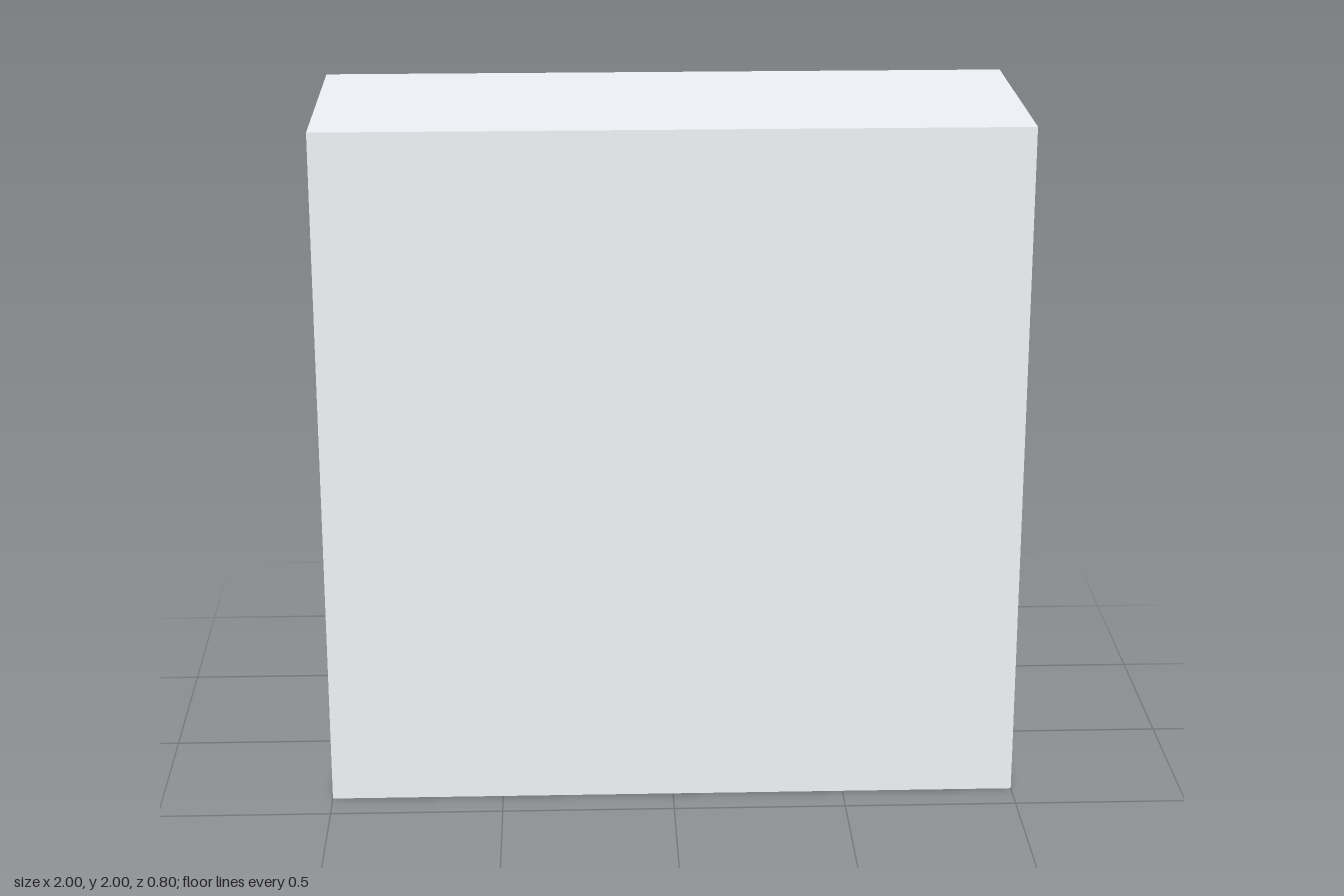
import * as THREE from 'three';

const BACK = -0.35; // plane of the shelf openings
const mat = (color, side = THREE.FrontSide) =>
  new THREE.MeshStandardMaterial({ color, flatShading: true, side });
const WHITE = mat(0xf3f4f9), BLUE = mat(0x0680f0), RED = mat(0xf5082e), YELLOW = mat(0xeec20a),
  BROWN = mat(0xcc8a70), DARK = mat(0x6a4428), PURPLE = mat(0xee08f6),
  BAG_WHITE = mat(0xf3f4f9, THREE.DoubleSide), GREEN = mat(0x08b01e, THREE.DoubleSide);

function add(parent, name, geo, material, x = 0, y = 0, z = 0) {
  const m = new THREE.Mesh(geo, material);
  m.name = name;
  m.position.set(x, y, z);
  parent.add(m);
  return m;
}
function place(parent, name, x, y, z, turn = 0) {
  const g = new THREE.Group();
  g.name = name;
  g.position.set(x, y, z);
  g.rotation.y = turn;
  parent.add(g);
  return g;
}
const points = pts => pts.map(p => new THREE.Vector2(...p));
// box standing on y
const block = (p, name, w, h, d, m, y) => add(p, name, new THREE.BoxGeometry(w, h, d), m, 0, y + h / 2, 0);

// gable-topped drink carton
function carton(parent, color, x, y, z, turn) {
  const g = place(parent, 'carton', x, y, z, turn), w = 0.13;
  block(g, 'cartonBody', w, 0.18, w, color, 0);
  const roof = new THREE.Shape(points([[-w / 2, 0.18], [w / 2, 0.18], [w / 2, 0.24], [0.015, 0.295], [-0.015, 0.295], [-w / 2, 0.24]]));
  const geo = new THREE.ExtrudeGeometry(roof, { depth: w, bevelEnabled: false });
  geo.translate(0, 0, -w / 2).rotateY(Math.PI / 2);
  add(g, 'cartonTop', geo, WHITE);
}

// wide box made of stacked colour bands: [height, material]
function bandedBox(parent, x, y, z, w, bands) {
  const g = place(parent, 'cerealBox', x, y, z);
  let h0 = 0;
  for (const [h, m] of bands) {
    block(g, 'boxBand', w, h, 0.13, m, h0);
    h0 += h;
  }
}

// tapered tub with a lid
function tub(parent, x, y, z) {
  const g = place(parent, 'tub', x, y, z);
  add(g, 'tubCup', new THREE.CylinderGeometry(0.062, 0.044, 0.088, 10), WHITE, 0, 0.044, 0);
  add(g, 'tubLid', new THREE.CylinderGeometry(0.071, 0.071, 0.013, 10), PURPLE, 0, 0.0935, 0);
}

function bottle(parent, x, y, z) {
  const g = place(parent, 'bottle', x, y, z);
  add(g, 'bottleBody', new THREE.CylinderGeometry(0.054, 0.054, 0.16, 8), BROWN, 0, 0.08, 0);
  add(g, 'bottleShoulder', new THREE.CylinderGeometry(0.024, 0.054, 0.03, 8), WHITE, 0, 0.175, 0);
  add(g, 'bottleNeck', new THREE.CylinderGeometry(0.022, 0.024, 0.03, 8), WHITE, 0, 0.205, 0);
  add(g, 'bottleCap', new THREE.CylinderGeometry(0.024, 0.024, 0.02, 8), RED, 0, 0.23, 0);
}

// eight-sided lathe squared off towards a box in plan
function squaredLathe(profile, segments, start, sweep) {
  const geo = new THREE.LatheGeometry(points(profile), segments, start, sweep);
  const p = geo.attributes.position;
  const square = v => Math.sign(v) * Math.sqrt(Math.abs(v));
  for (let i = 0; i < p.count; i++) p.setXYZ(i, square(p.getX(i)), p.getY(i), square(p.getZ(i)));
  return geo;
}

// faceted pillow bag with a coloured front panel
function bag(parent, x, z, turn, rx, rz, h) {
  const g = place(parent, 'bag', x, 0.16, z, turn);
  const side = [[0.65, 0], [1, 0.22], [0.8, 0.78]];
  const body = squaredLathe([[0, 0], ...side, [0.3, 1], [0, 0.95]], 8, 0, Math.PI * 2);
  add(g, 'bagBody', body, BAG_WHITE).scale.set(rx, h, rz);
  const panel = squaredLathe(side, 2, Math.PI * 0.75, Math.PI / 2);
  add(g, 'bagPanel', panel, GREEN).scale.set(rx, h, rz * 1.02);
}

export function createModel() {
  const root = new THREE.Group();
  root.name = 'displayCabinet';

  // cabinet: solid block with a two-bay frame
  const bays = [[0.11, 0.88], [-0.83, -0.11]];
  const face = new THREE.Shape(points([[-1, 0], [1, 0], [1, 2], [-1, 2]]));
  for (const [a, b] of bays) face.holes.push(new THREE.Path(points([[a, 0.16], [a, 1.65], [b, 1.65], [b, 0.16]])));
  const depth = 0.3;
  add(root, 'cabinetFrame', new THREE.ExtrudeGeometry(face, { depth, bevelEnabled: false }), WHITE, 0, 0, BACK);
  add(root, 'cabinetBlock', new THREE.BoxGeometry(2, 2, 0.45), WHITE, 0, 1, 0.175);

  // shelves
  const tops = [1.25, 0.865, 0.48];
  for (const [a, b] of bays) {
    for (const t of tops) {
      add(root, 'shelf', new THREE.BoxGeometry(b - a, 0.09, depth - 0.06), WHITE, (a + b) / 2, t - 0.045, BACK + 0.06 + (depth - 0.06) / 2);
    }
  }

  // header panels, almost flush
  for (const [x, w] of [[0.49, 0.66], [-0.472, 0.625]]) {
    add(root, 'headerPanel', new THREE.BoxGeometry(w, 0.245, 0.004), BLUE, x, 1.824, BACK + 0.001);
  }

  // top shelves: cartons
  const [y1, y2, y3] = tops;
  for (const [x, z, turn] of [[0.77, -0.18, 0], [0.62, -0.185, 0.05], [0.425, -0.18, -0.3], [0.24, -0.185, 0]]) {
    carton(root, BLUE, x, y1, z, turn);
  }
  for (const [x, z, turn] of [[-0.19, -0.17, 0], [-0.335, -0.22, 0.12], [-0.475, -0.125, 0], [-0.625, -0.195, 0.05], [-0.76, -0.18, 0]]) {
    carton(root, RED, x, y1, z, turn);
  }

  // second shelves: wide boxes and small packs
  bandedBox(root, 0.715, y2, -0.195, 0.24, [[0.105, GREEN], [0.05, WHITE], [0.09, GREEN], [0.012, WHITE]]);
  bandedBox(root, 0.473, y2, -0.195, 0.235, [[0.105, BLUE], [0.05, WHITE], [0.09, BLUE], [0.012, WHITE]]);
  bandedBox(root, 0.235, y2, -0.195, 0.235, [[0.105, YELLOW], [0.04, DARK], [0.08, YELLOW], [0.032, DARK]]);
  for (let i = 0; i < 7; i++) {
    const g = place(root, 'smallPack', -0.163 - 0.103 * i, y2, -0.235);
    block(g, 'packBody', 0.09, 0.165, 0.1, YELLOW, 0);
    block(g, 'packTop', 0.09, 0.055, 0.1, WHITE, 0.165);
  }

  // third shelves: stacked tubs and bottles
  for (let i = 0; i < 5; i++) {
    for (const level of [0, 0.1]) tub(root, 0.785 - 0.146 * i, y3 + level, -0.215);
    bottle(root, -0.205 - 0.127 * i, y3, -0.22);
  }

  // floor: bags, turned to different sides
  bag(root, 0.7, -0.29, 0.38, 0.13, 0.09, 0.18);
  bag(root, 0.483, -0.263, -0.3, 0.1, 0.1, 0.18);
  bag(root, 0.235, -0.235, -0.4, 0.08, 0.1, 0.18);
  bag(root, -0.27, -0.265, 0.38, 0.13, 0.09, 0.18);
  bag(root, -0.515, -0.232, -0.8, 0.12, 0.09, 0.18);
  bag(root, -0.735, -0.24, -1.2, 0.11, 0.07, 0.18);
  return root;
}
